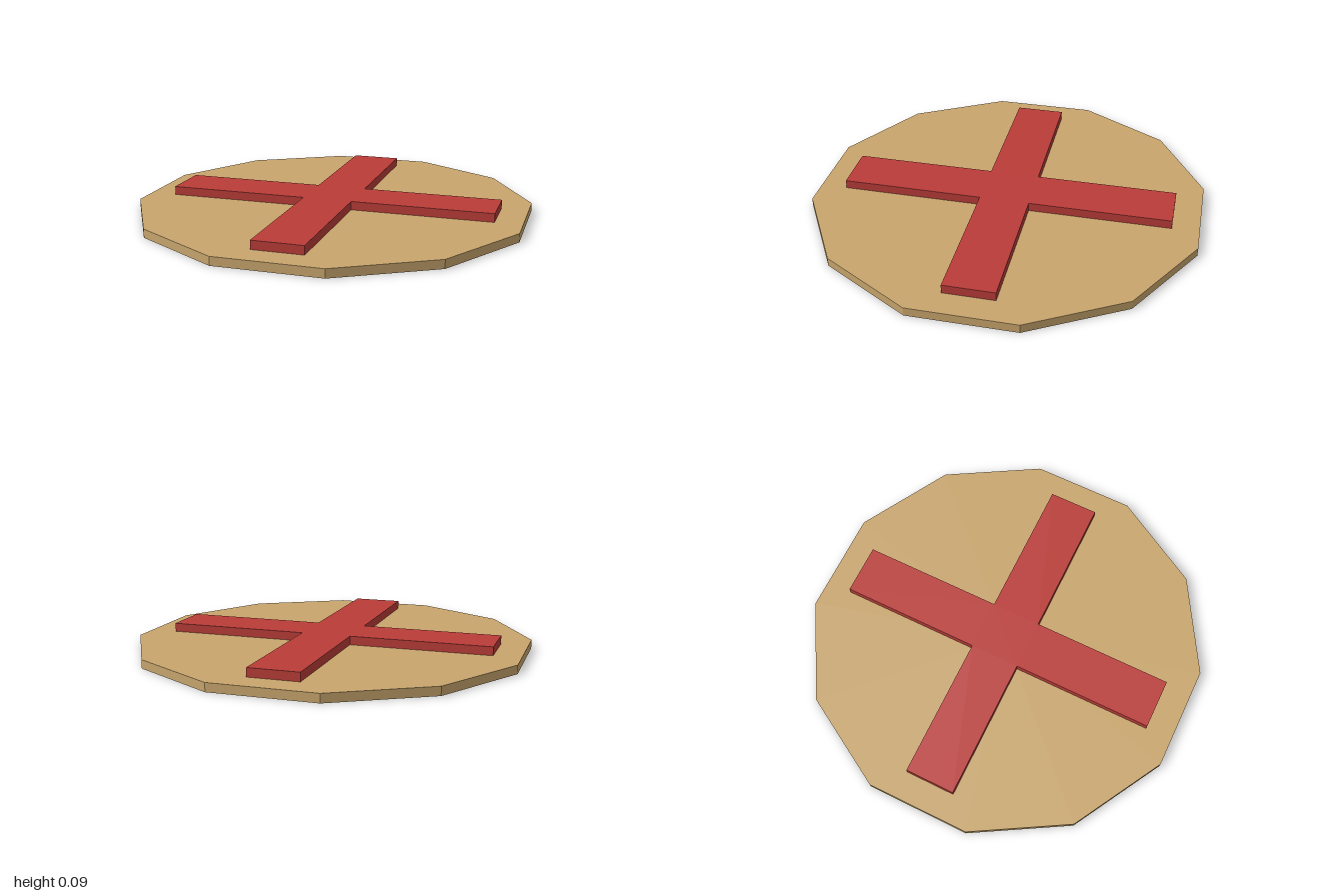
import * as THREE from 'three';

const LAYER = 0.043; // thickness of both the disc and the cross
const ARM = 0.832;   // centre to arm end
const HALF = 0.125;  // half the arm width

export function createModel() {
  const model = new THREE.Group();
  const tan = new THREE.MeshStandardMaterial({ color: 0xc8a56d });
  tan.name = 'tan';
  tan.flatShading = true;
  const red = new THREE.MeshStandardMaterial({ color: 0xb93c38 });
  red.name = 'red';
  red.flatShading = true;

  // Twelve-sided base disc, corners on the axes
  const disc = new THREE.Mesh(new THREE.CylinderGeometry(1, 1, LAYER, 12), tan);
  disc.name = 'baseDisc';
  disc.position.y = LAYER / 2;
  model.add(disc);

  // Cross outline: three corners per arm, turned a quarter each time
  const points = [];
  for (let i = 0; i < 4; i++) {
    for (const [x, y] of [[ARM, -HALF], [ARM, HALF], [HALF, HALF]]) {
      points.push(new THREE.Vector2(x, y).rotateAround(new THREE.Vector2(), Math.PI / 4 + i * Math.PI / 2));
    }
  }
  const crossGeometry = new THREE.ExtrudeGeometry(new THREE.Shape(points), { depth: LAYER, bevelEnabled: false });
  crossGeometry.rotateX(-Math.PI / 2);

  // Raised diagonal cross resting on the disc
  const cross = new THREE.Mesh(crossGeometry, red);
  cross.name = 'raisedCross';
  cross.position.y = LAYER;
  model.add(cross);

  return model;
}
